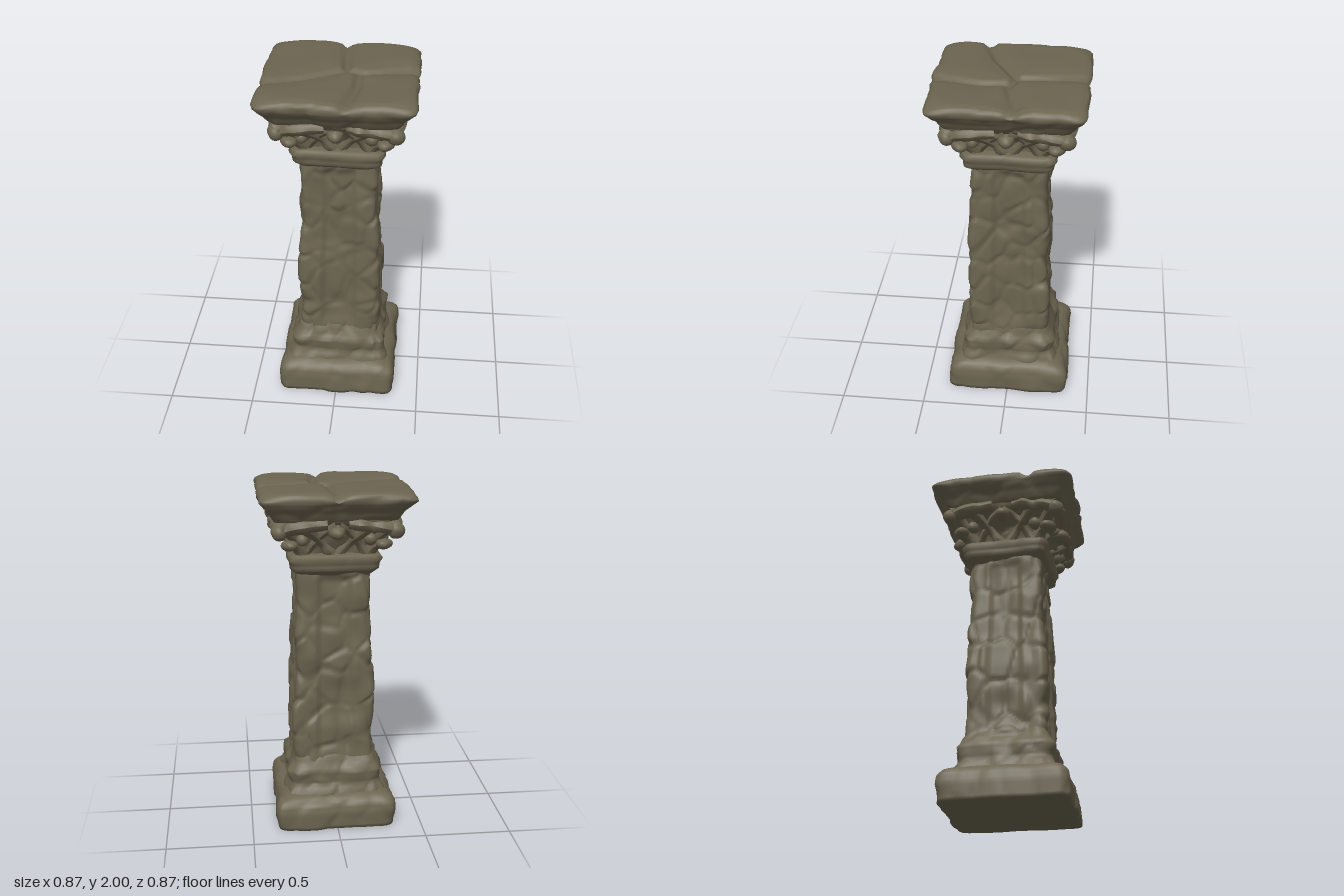
import * as THREE from 'three';

const stone = new THREE.MeshStandardMaterial({ color: 0x6b6450 });
stone.name = 'weathered stone';

// Seeded value in 0..1 for a lattice cell
const hash = (i, j, k, s = 0) => {
  const v = Math.sin(i * 127.1 + j * 311.7 + k * 74.7 + s * 53.3) * 43758.5453;
  return v - Math.floor(v);
};
const smooth = (a, b, v) => THREE.MathUtils.smoothstep(v, a, b);

// Smooth noise, -1..1
function noise(x, y, z) {
  const i = Math.floor(x), j = Math.floor(y), k = Math.floor(z);
  const f = [x - i, y - j, z - k].map(t => t * t * (3 - 2 * t));
  let sum = 0;
  for (let c = 0; c < 8; c++) {
    const a = c & 1, b = (c >> 1) & 1, d = c >> 2;
    sum += hash(i + a, j + b, k + d) * (a ? f[0] : 1 - f[0]) * (b ? f[1] : 1 - f[1]) * (d ? f[2] : 1 - f[2]);
  }
  return sum * 2 - 1;
}

// Chipped stone: each cell has its own height, with cracks between cells
function chips(x, y, z) {
  const i = Math.floor(x), j = Math.floor(y), k = Math.floor(z);
  let d1 = 9, d2 = 9, height = 0;
  for (let a = i - 1; a <= i + 1; a++) for (let b = j - 1; b <= j + 1; b++) for (let c = k - 1; c <= k + 1; c++) {
    const d = Math.hypot(a + hash(a, b, c, 1) - x, b + hash(a, b, c, 2) - y, c + hash(a, b, c, 3) - z);
    if (d < d1) { d2 = d1; d1 = d; height = hash(a, b, c, 4); } else if (d < d2) d2 = d;
  }
  const edge = smooth(0, 0.25, d2 - d1);
  return edge * (0.4 + 0.9 * height) - 0.75;
}
const rough = (x, y, z, size) =>
  0.45 * chips(x / size, y / size * 0.8, z / size) + 0.6 * noise(x / size * 1.3 + 7, y / size * 1.3, z / size * 1.3);

function add(group, name, geometry) {
  const mesh = new THREE.Mesh(geometry, stone);
  mesh.name = name;
  group.add(mesh);
}

// Stack of rounded square rings; profile rows are [y, half width x, half depth z]
function squareLoft(profile, { step = 0.02, corner = 0.15, amp = 0.015, size = 0.15, shape } = {}) {
  const rows = [profile[0]];
  for (let i = 1; i < profile.length; i++) {
    const a = profile[i - 1], b = profile[i];
    const n = Math.max(1, Math.round(Math.hypot(b[0] - a[0], b[1] - a[1]) / step));
    for (let s = 1; s <= n; s++) rows.push(a.map((v, q) => v + (b[q] - v) * s / n));
  }
  const around = 112, pos = [], index = [];
  rows.forEach(([y, hx, hz], r) => {
    for (let n = 0; n < around; n++) {
      const side = Math.floor(n / (around / 4)), t = (n % (around / 4)) / (around / 8) - 1;
      const inner = 1 - corner;
      let u = THREE.MathUtils.clamp(t, -inner, inner), v = inner;
      const du = t - u, len = Math.hypot(du, corner);
      u += du / len * corner;
      v += corner / len * corner;
      const c = [1, 0, -1, 0][side], s = [0, 1, 0, -1][side];
      const p = new THREE.Vector3((u * c + v * s) * hx, y, (-u * s + v * c) * hz);
      const d = amp * rough(p.x, y, p.z, size) / Math.max(hx, 0.2);
      p.x *= 1 + d;
      p.z *= 1 + d;
      if (shape) shape(p, t, side);
      pos.push(p.x, p.y, p.z);
      if (r) {
        const m = (n + 1) % around, lo = (r - 1) * around, hi = r * around;
        index.push(lo + n, lo + m, hi + m, lo + n, hi + m, hi + n);
      }
    }
  });
  const g = new THREE.BufferGeometry();
  g.setAttribute('position', new THREE.Float32BufferAttribute(pos, 3));
  g.setIndex(index);
  g.computeVertexNormals();
  return g;
}

// Worn surface for carved ornaments
function wear(g, amount) {
  const p = g.attributes.position, n = g.attributes.normal;
  for (let i = 0; i < p.count; i++) {
    const d = amount * noise(p.getX(i) * 16, p.getY(i) * 16, p.getZ(i) * 16);
    p.setXYZ(i, p.getX(i) + n.getX(i) * d, p.getY(i) + n.getY(i) * d, p.getZ(i) + n.getZ(i) * d);
  }
  g.computeVertexNormals();
  return g;
}
const rib = (points, radius) => wear(new THREE.TubeGeometry(
  new THREE.CatmullRomCurve3(points.map(q => new THREE.Vector3(...q))), 18, radius, 9), 0.014);
const knob = (x, y, z, rx, ry, rz) => wear(new THREE.SphereGeometry(1, 16, 12).scale(rx, ry, rz).translate(x, y, z), 0.014);

// Cracks that part the top slab into four, as polylines in x, z
const cracks = [
  [[-0.44, 0.17], [-0.34, 0.15], [-0.2, 0.1], [0.03, -0.03], [0.13, 0.01], [0.36, -0.05], [0.44, -0.03]],
  [[0, -0.45], [0.01, -0.3], [0.03, -0.03]],
  [[0.1, 0.01], [0.1, 0.17], [0.05, 0.45]],
];
function crackDistance(x, z) {
  let best = 9;
  for (const line of cracks) for (let i = 1; i < line.length; i++) {
    const [ax, az] = line[i - 1], dx = line[i][0] - ax, dz = line[i][1] - az;
    const t = THREE.MathUtils.clamp(((x - ax) * dx + (z - az) * dz) / (dx * dx + dz * dz), 0, 1);
    best = Math.min(best, Math.hypot(x - ax - t * dx, z - az - t * dz));
  }
  return best;
}

export function createModel() {
  const pillar = new THREE.Group();
  pillar.name = 'pillar';

  // Plinth and stepped foot
  add(pillar, 'plinth', squareLoft([[0, 0, 0], [0, 0.352, 0.367], [0.1, 0.352, 0.367], [0.15, 0.343, 0.355],
    [0.18, 0.325, 0.33], [0.2, 0.29, 0.29], [0.21, 0.2, 0.2]], {
    corner: 0.17, amp: 0.02, size: 0.2,
    shape: p => { p.y = Math.max(0, p.y); },
  }));
  add(pillar, 'baseMoulding', squareLoft([[0.17, 0.3, 0.3], [0.21, 0.29, 0.29], [0.25, 0.273, 0.27], [0.28, 0.28, 0.275],
    [0.33, 0.282, 0.28], [0.37, 0.255, 0.255], [0.42, 0.23, 0.23], [0.46, 0.21, 0.21]],
    { corner: 0.25, amp: 0.026, size: 0.14 }));

  // Shaft with a sunk panel on each face
  add(pillar, 'shaft', squareLoft([[0.36, 0.232, 0.236], [0.8, 0.23, 0.23], [1.2, 0.222, 0.222], [1.56, 0.215, 0.215]], {
    step: 0.014, corner: 0.2, amp: 0.024, size: 0.15,
    shape: (p, t, side) => {
      const sink = 0.02 * (1 - smooth(0.34, 0.46, Math.abs(t))) * smooth(0.4, 0.5, p.y) * (1 - smooth(1.46, 1.52, p.y));
      const axis = side % 2 ? 'x' : 'z';
      p[axis] -= sink * Math.sign(p[axis]);
      p.x += 0.007;
    },
  }));

  // Necking ring and bell of the capital
  add(pillar, 'necking', squareLoft([[1.5, 0.2, 0.2], [1.52, 0.227, 0.227], [1.54, 0.25, 0.25], [1.575, 0.254, 0.254],
    [1.6, 0.268, 0.268], [1.62, 0.255, 0.255], [1.635, 0.19, 0.19]], { corner: 0.17, amp: 0.014, size: 0.2 }));
  add(pillar, 'capitalBell', squareLoft([[1.6, 0.205, 0.205], [1.66, 0.212, 0.212], [1.71, 0.235, 0.235], [1.76, 0.275, 0.275],
    [1.8, 0.32, 0.32], [1.83, 0.345, 0.345], [1.88, 0.345, 0.345]], { corner: 0.25, amp: 0.025, size: 0.13 }));

  // Carved leaves: the same set on each of the four sides
  for (let side = 0; side < 4; side++) {
    const face = new THREE.Group();
    face.name = 'carvedFace' + (side + 1);
    face.rotation.y = side * Math.PI / 2;
    pillar.add(face);
    add(face, 'rosette', knob(0, 1.765, 0.31, 0.05, 0.036, 0.05));
    for (const m of [-1, 1]) {
      add(face, 'leafRib', rib([[m * 0.02, 1.63, 0.2], [m * 0.08, 1.7, 0.23], [m * 0.15, 1.77, 0.29], [m * 0.19, 1.81, 0.32]], 0.03));
      add(face, 'crossRib', rib([[m * 0.17, 1.62, 0.195], [m * 0.12, 1.7, 0.23], [m * 0.05, 1.78, 0.285], [0, 1.81, 0.31]], 0.028));
      add(face, 'leafCurl', knob(m * 0.19, 1.715, 0.255, 0.04, 0.04, 0.04));
      add(face, 'scroll', rib([[m * 0.06, 1.815, 0.325], [m * 0.18, 1.805, 0.33], [m * 0.26, 1.79, 0.325], [m * 0.31, 1.775, 0.32]], 0.035));
    }
    // Corner volutes
    add(face, 'cornerStem', rib([[0.18, 1.62, 0.18], [0.2, 1.69, 0.2], [0.25, 1.75, 0.25], [0.3, 1.79, 0.3], [0.325, 1.775, 0.325]], 0.04));
    add(face, 'cornerVolute', knob(0.322, 1.765, 0.322, 0.048, 0.04, 0.048));
    add(face, 'lowerCurl', knob(0.26, 1.69, 0.26, 0.048, 0.034, 0.048));
    add(face, 'lowerLeaf', rib([[0.18, 1.63, 0.18], [0.22, 1.68, 0.22], [0.27, 1.695, 0.27]], 0.034));
  }

  // Cracked top slab with worn, sagging corners
  add(pillar, 'topSlab', squareLoft([[1.82, 0.25, 0.25], [1.83, 0.35, 0.35], [1.855, 0.367, 0.367], [1.88, 0.382, 0.382],
    [1.91, 0.408, 0.408], [1.94, 0.43, 0.43], [1.965, 0.434, 0.434], [1.985, 0.422, 0.422], [1.995, 0.39, 0.39], [2, 0, 0]], {
    step: 0.013, corner: 0.13, amp: 0.02, size: 0.22,
    shape: p => {
      const d = crackDistance(p.x, p.z), top = smooth(1.93, 1.985, p.y);
      const groove = 1 - smooth(0, 0.04, d), edge = Math.max(Math.abs(p.x), Math.abs(p.z));
      const sag = smooth(0.46, 0.62, Math.hypot(p.x, p.z));
      p.y -= top * (0.022 * groove + 0.01 * (1 - smooth(0, 0.13, d)) + 0.006 * noise(p.x * 6, 3, p.z * 6) + 0.022 * sag);
      p.y = Math.min(p.y, 2);
      if (edge > 0.33) { p.x *= 1 - 0.03 * groove; p.z *= 1 - 0.03 * groove; }
    },
  }));

  return pillar;
}
